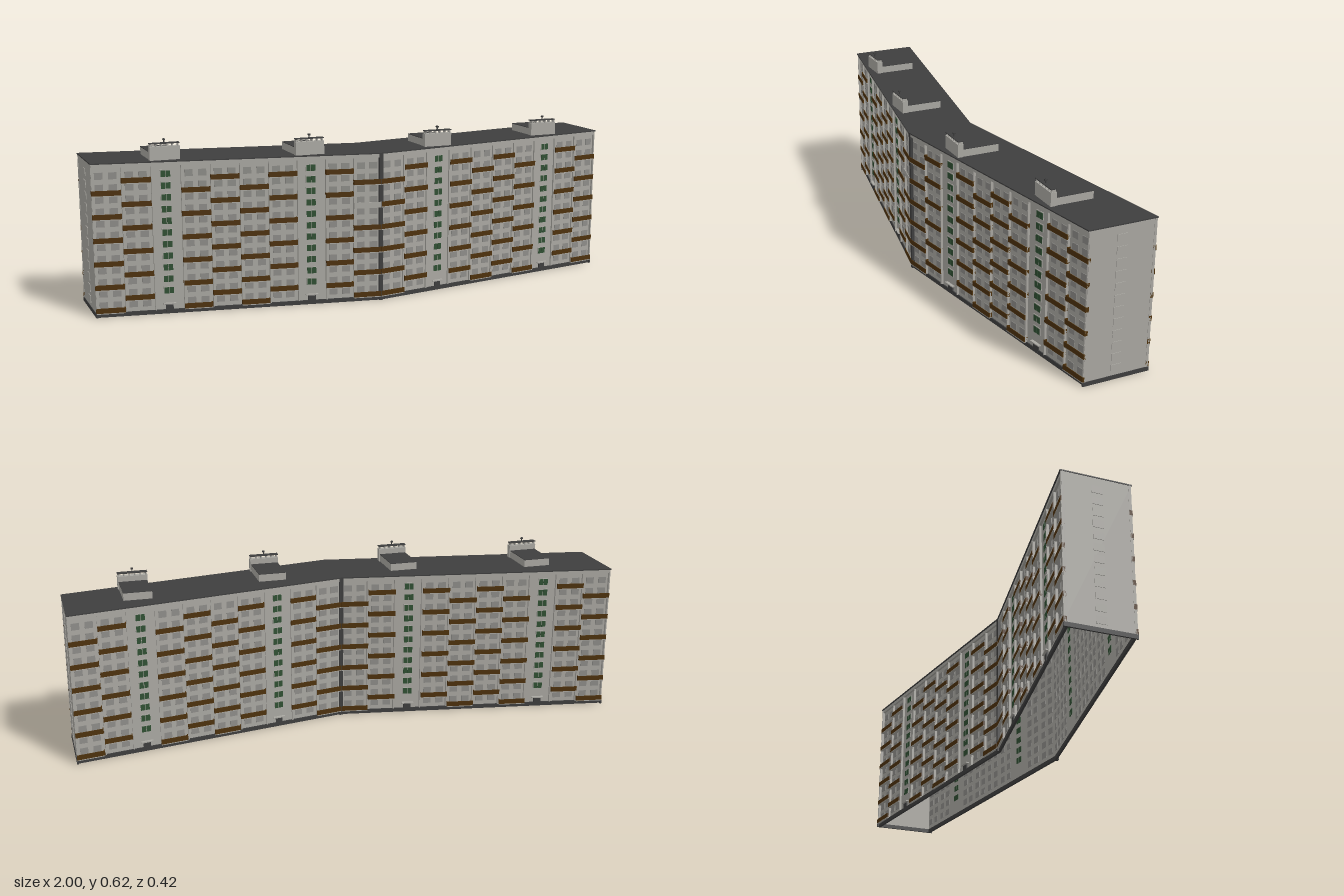
import * as THREE from 'three';
import { mergeGeometries } from 'three/addons/utils/BufferGeometryUtils.js';

const mat = (name, color) => {
  const m = new THREE.MeshStandardMaterial({ color });
  m.name = name;
  return m;
};

export function createModel() {
  const concrete = mat('concrete', 0xa9a7a1);
  const glass = mat('window grey', 0x8d8c88);
  const roofing = mat('roofing', 0x3e3e3e);
  const brown = mat('balcony brown', 0x4d310c);
  const green = mat('stair window green', 0x2f4f32);

  const model = new THREE.Group();
  model.name = 'apartmentBlock';

  const FLOORS = 12, STEP = 0.0414, BAY = 0.1;
  const FRONT = 0.193, BACK = -0.028;          // wall planes before bending
  const parts = new Map();

  // Box between two corners, collected under a part name
  function box(name, material, x0, x1, y0, y1, z0, z1, bend = true) {
    const g = new THREE.BoxGeometry(Math.abs(x1 - x0), y1 - y0, Math.abs(z1 - z0));
    g.translate((x0 + x1) / 2, (y0 + y1) / 2, (z0 + z1) / 2);
    if (bend) {
      // Sweep both wings backwards from the middle
      const p = g.attributes.position;
      for (let i = 0; i < p.count; i++) p.setZ(i, p.getZ(i) - 0.17 * Math.abs(p.getX(i)));
      g.computeVertexNormals();
    }
    if (!parts.has(name)) parts.set(name, { material, list: [] });
    parts.get(name).list.push(g);
  }

  // Bays counted from the middle outwards; 2 and 7 hold the stairs
  const isStair = (b) => b === 2 || b === 7;
  const hasBalcony = (b, floor) => !isStair(b) && (b + (b > 7 ? 1 : 0)) % 2 === (floor % 2);

  for (const s of [-1, 1]) {
    // Shell of one wing
    box('endWall', concrete, s * 0.994, s * 0.998, 0.015, 0.539, -0.038, 0.203);
    box('endBase', roofing, s * 0.994, s, 0, 0.015, -0.039, 0.204);
    box('roof', roofing, 0, s, 0.539, 0.543, -0.04, 0.206);

    // Small windows up the end wall
    for (let f = 0; f < FLOORS; f++) {
      const y = 0.041 + f * STEP;
      box('endWindow', concrete, s * 0.996, s, y - 0.013, y + 0.013, 0.066, 0.103);
    }

    for (const side of [1, -1]) {
      const wall = side > 0 ? FRONT : BACK;
      const out = (d) => wall + side * d;       // distance outwards from the wall
      box('facadeWall', concrete, 0, s * 0.998, 0.015, 0.539, wall, out(-0.004));
      box('facadeBase', roofing, 0, s * 0.998, 0, 0.015, out(0.004), out(-0.004));
      box('cornice', concrete, 0, s * 0.998, 0.526, 0.539, out(0), out(0.008));
      box('expansionJoint', roofing, 0, s * 0.007, 0.0, 0.539, out(0), out(0.01));

      for (let b = 0; b < 10; b++) {
        const a = b * BAY, mid = a + BAY / 2;
        // Pier on the outer edge of the bay
        box('pier', concrete, s * (a + BAY - 0.005), s * (a + BAY - 0.001), 0.015, 0.539, out(0), out(0.008));

        for (let f = 0; f < FLOORS; f++) {
          const y = 0.025 + f * STEP, wy = y + 0.017;
          if (isStair(b)) {
            // Stairwell: green panes in a light frame, with plain windows beside
            if (f > 0) {
              box('stairWindowFrame', concrete, s * (mid - 0.018), s * (mid + 0.018), wy - 0.013, wy + 0.014, out(0), out(0.002));
              for (const d of [-0.0085, 0.0085])
                box('stairWindow', green, s * (mid + d - 0.0075), s * (mid + d + 0.0075), wy - 0.011, wy + 0.011, out(-0.006), out(0.003));
            }
            continue;
          }
          // Two windows per bay on each floor
          for (const d of [-0.024, 0.022])
            box('window', glass, s * (mid + d - 0.014), s * (mid + d + 0.014), wy - 0.012, wy + 0.012, out(-0.005), out(0.002));

          if (hasBalcony(b, f)) {
            const x0 = a + 0.001, x1 = a + BAY - 0.001;
            // A few parapets beside the joint are left plain
            const plain = s < 0 && side > 0 && b === 0 && f === 8;
            const name = plain ? 'plainParapet' : 'balconyParapet';
            const m = plain ? concrete : brown;
            box('balconyFloor', concrete, s * x0, s * x1, y - 0.012, y - 0.009, out(0), out(0.0115));
            box(name, m, s * x0, s * x1, y - 0.009, y + 0.009, out(0.0095), out(0.0115));
            for (const x of [x0, x1 - 0.002])
              box(name, m, s * x, s * (x + 0.002), y - 0.009, y + 0.009, out(0), out(0.0095));
          }
        }

        if (isStair(b)) {
          // Entrance door and canopy
          box('entranceDoor', roofing, s * (mid - 0.013), s * (mid + 0.013), 0.002, 0.032, out(0), out(0.005));
          box('entranceCanopy', concrete, s * (mid - 0.022), s * (mid + 0.022), 0.034, 0.038, out(0), out(0.011));
        }
      }
    }

    // Rooftop machine rooms, kept square to the axes
    for (const [x, zFront] of [[0.25, 0.147], [0.747, 0.057]]) {
      const r = (name, m, x0, x1, y0, y1, z0, z1) =>
        box(name, m, s * (x + x0), s * (x + x1), y0, y1, zFront + z0, zFront + z1, false);
      r('machineRoom', concrete, -0.05, 0.05, 0.54, 0.569, -0.155, -0.02);
      r('machineRoomRoof', roofing, -0.05, 0.05, 0.569, 0.571, -0.155, -0.02);
      r('ventWall', concrete, -0.053, 0.053, 0.54, 0.59, -0.021, 0);
      for (let i = 0; i < 6; i++) {
        const p = -0.05 + i * 0.0194;
        r('ventPost', concrete, p, p + 0.004, 0.59, 0.6, -0.019, -0.002);
      }
      r('ventCap', roofing, -0.053, 0.053, 0.599, 0.602, -0.021, 0);
      r('antennaMast', roofing, -0.0015, 0.0015, 0.602, 0.617, -0.011, -0.008);
      r('antennaBar', roofing, -0.004, 0.004, 0.611, 0.616, -0.014, -0.005);
    }
  }

  // One mesh per kind of part
  for (const [name, { material, list }] of parts) {
    const mesh = new THREE.Mesh(mergeGeometries(list), material);
    mesh.name = name;
    model.add(mesh);
  }
  return model;
}
